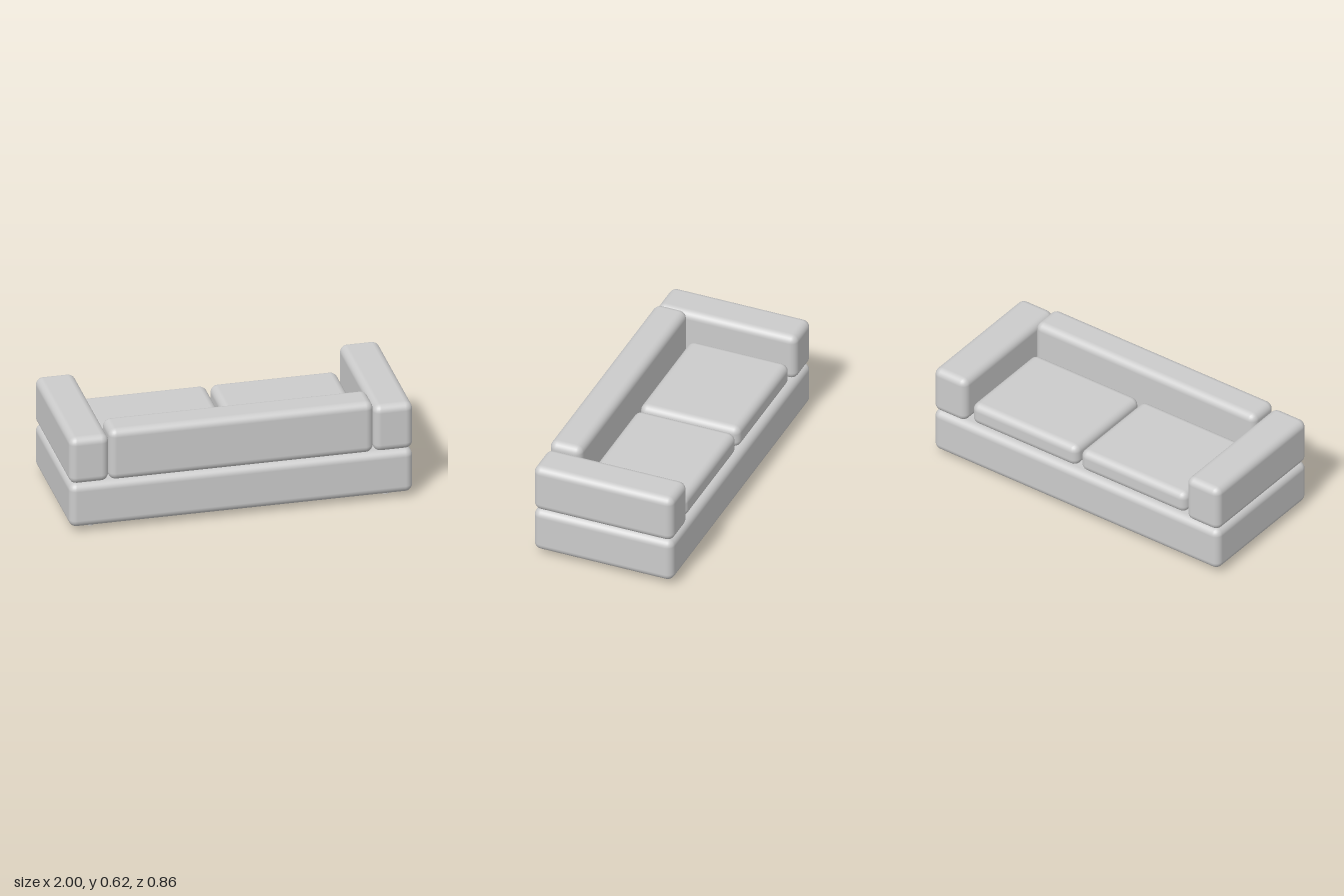
import * as THREE from 'three';
import { RoundedBoxGeometry } from 'three/addons/geometries/RoundedBoxGeometry.js';

export function createModel() {
  const sofa = new THREE.Group();
  sofa.name = 'sofa';
  const material = new THREE.MeshStandardMaterial({ color: 0xcccccc });

  // Soft-edged block given by its min and max on each axis
  function block(name, [x0, x1], [y0, y1], [z0, z1], radius) {
    const geometry = new RoundedBoxGeometry(x1 - x0, y1 - y0, z1 - z0, 3, radius);
    const mesh = new THREE.Mesh(geometry, material);
    mesh.position.set((x0 + x1) / 2, (y0 + y1) / 2, (z0 + z1) / 2);
    mesh.name = name;
    sofa.add(mesh);
  }

  block('base', [-1, 1], [0.03, 0.302], [-0.43, 0.43], 0.045);
  block('backrest', [-0.77, 0.77], [0.302, 0.62], [0.23, 0.43], 0.045);

  const legGeometry = new THREE.CylinderGeometry(0.022, 0.022, 0.04, 16);
  for (const [side, s] of [['left', 1], ['right', -1]]) {
    const span = (a, b) => (s > 0 ? [a, b] : [-b, -a]);
    block(side + 'Arm', span(0.77, 1), [0.302, 0.592], [-0.43, 0.43], 0.045);
    block(side + 'SeatCushion', span(0.01, 0.75), [0.302, 0.44], [-0.405, 0.21], 0.045);

    // Short round legs, sunk slightly into the base
    for (const z of [-0.325, 0.325]) {
      const leg = new THREE.Mesh(legGeometry, material);
      leg.position.set(s * 0.86, 0.02, z);
      leg.name = side + (z > 0 ? 'FrontLeg' : 'BackLeg');
      sofa.add(leg);
    }
  }
  return sofa;
}
